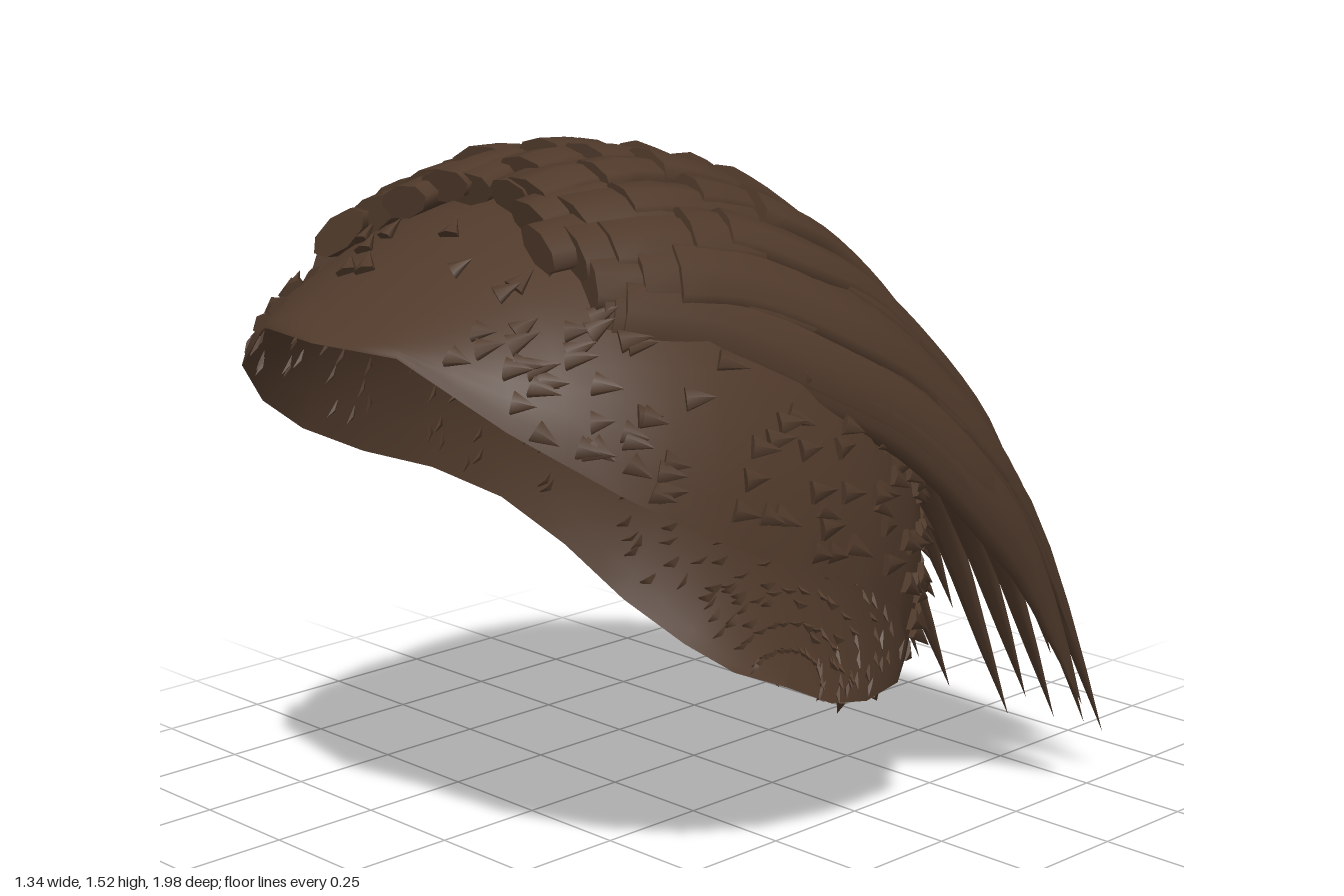
import * as THREE from 'three';
import { mergeGeometries } from 'three/addons/utils/BufferGeometryUtils.js';

const V = (x, y, z) => new THREE.Vector3(x, y, z);
let seed = 7;
const rand = () => (seed = (seed * 16807) % 2147483647) / 2147483647;
const jitter = (a) => (rand() * 2 - 1) * a;

// Smooth surface from a rule giving the point at row i, column j
function grid(rows, cols, point) {
  const pos = [], index = [];
  for (let i = 0; i <= rows; i++)
    for (let j = 0; j <= cols; j++) pos.push(...point(i, j).toArray());
  for (let i = 0; i < rows; i++)
    for (let j = 0; j < cols; j++) {
      const a = i * (cols + 1) + j, b = a + cols + 1;
      index.push(a, a + 1, b, b, a + 1, b + 1);
    }
  const g = new THREE.BufferGeometry();
  g.setAttribute('position', new THREE.Float32BufferAttribute(pos, 3));
  g.setIndex(index);
  g.computeVertexNormals();
  return g;
}

// Scalp sections, front to nape: rim x, y, z and crown y, z
const sections = [
  [0, 1.225, 1, 1.225, 1], [0.2, 1.22, 0.96, 1.26, 0.93], [0.4, 1.1, 0.87, 1.33, 0.8],
  [0.54, 0.98, 0.72, 1.42, 0.6], [0.62, 0.88, 0.56, 1.46, 0.38], [0.655, 0.79, 0.37, 1.44, 0.18],
  [0.65, 0.72, 0.18, 1.36, -0.02], [0.6, 0.63, 0.02, 1.21, -0.2], [0.52, 0.51, -0.1, 1.02, -0.33],
  [0.42, 0.38, -0.19, 0.78, -0.41], [0.28, 0.29, -0.25, 0.52, -0.4], [0.15, 0.245, -0.28, 0.35, -0.35],
  [0, 0.24, -0.3, 0.24, -0.3],
];
function scalpPoint(v, angle) {
  const i = Math.min(11, Math.floor(v)), f = v - i;
  const [x, y, z, ty, tz] = sections[i].map((n, k) => n + (sections[i + 1][k] - n) * f);
  const s = Math.sin(angle);
  return V(x * Math.cos(angle), y + (ty - y) * s, z + (tz - z) * s);
}

// Small scale-like tuft rooted in the scalp, its tip lifted outwards
function tuft(v, angle, radius, length, lift) {
  const p = scalpPoint(v, angle), e = 0.05;
  const dv = scalpPoint(v + e, angle).sub(scalpPoint(v - e, angle)).normalize();
  const da = scalpPoint(v, angle + e).sub(scalpPoint(v, angle - e)).normalize();
  const normal = dv.clone().cross(da).normalize();
  const dir = dv.addScaledVector(da, jitter(0.4)).addScaledVector(normal, lift).normalize();
  const side = dir.clone().cross(normal).normalize();
  const out = side.clone().cross(dir);
  p.addScaledVector(dir, length / 2).addScaledVector(normal, 0.004);
  const g = new THREE.ConeGeometry(radius, length, 6).scale(1, 1, 0.5);
  return g.applyMatrix4(new THREE.Matrix4().makeBasis(side, dir, out).setPosition(p));
}

// Sweep of the hair: a middle path and a side path, blended around the head
const middle = new THREE.CatmullRomCurve3([
  V(0, 1.43, 0.7), V(0, 1.48, 0.35), V(0, 1.37, 0), V(0, 1.12, -0.3), V(0, 0.72, -0.63), V(0, 0, -1)]);
const edge = new THREE.CatmullRomCurve3([
  V(0.36, 1.28, 0.68), V(0.47, 1.18, 0.42), V(0.56, 1.03, 0.15),
  V(0.585, 0.86, -0.08), V(0.575, 0.66, -0.3), V(0.56, 0.43, -0.5)]);
function sweep(s, t) {
  const phi = s * Math.PI / 2, a = edge.getPoint(t), b = middle.getPoint(t);
  const c = Math.max(0, Math.cos(phi));
  const ky = Math.pow(c, 1.05 - 0.65 * t * t), kz = Math.pow(c, 1.05 - 0.45 * t * t);
  return V(a.x * Math.sin(phi), a.y + (b.y - a.y) * ky, a.z + (b.z - a.z) * kz);
}

// Flattened lock with a blunt root and a pointed tip
function lock(s, t0, t1, width, thick, lift) {
  const rows = 18, sides = 8, phase = rand() * 6;
  const ring = (i, j, scale = 1) => {
    const u = i / rows, t = t0 + (t1 - t0) * u, e = 0.01;
    const sw = s + 0.012 * Math.sin(phase + u * 16) * (1 - u);
    const c = sweep(sw, t);
    const across = sweep(sw + e, t).sub(sweep(sw - e, t)).normalize();
    const along = sweep(sw, Math.min(1, t + e)).sub(sweep(sw, Math.max(0, t - e))).normalize();
    const normal = across.clone().cross(along).normalize();
    across.copy(along).cross(normal);
    const taper = scale * (u < 0.76 ? 1 : Math.pow((1 - u) / 0.24, 0.8));
    const q = -j / sides * Math.PI * 2 - Math.PI / 2;
    return c.addScaledVector(across, Math.cos(q) * width * taper)
      .addScaledVector(normal, Math.sin(q) * thick * taper + lift * (1 - 0.7 * u));
  };
  const body = grid(rows, sides, (i, j) => ring(i, j));
  const cap = grid(1, sides, (i, j) => ring(0, j, i));
  return mergeGeometries([body, cap]);
}

// Rows of locks, lowest first: count, spread, earliest root, latest tip
const lockRows = [
  [10, 0.98, 0, 1], [11, 1.03, 0.06, 0.99], [12, 0.95, 0.13, 0.94], [9, 0.8, 0.22, 0.89], [7, 0.65, 0.32, 0.86],
];

export function createModel() {
  seed = 7;
  const group = new THREE.Group();
  const brown = new THREE.MeshStandardMaterial({ color: 0x503a2b, side: THREE.DoubleSide });
  brown.name = 'dark brown';
  const add = (name, geometry) => {
    const mesh = new THREE.Mesh(geometry, brown);
    mesh.name = name;
    group.add(mesh);
  };

  // Open cap
  add('scalp', grid(24, 24, (i, j) => scalpPoint(i / 2, j / 24 * Math.PI)));

  // Short tufts all over the cap, closer together down the sides
  const tufts = [];
  for (let i = 0; i < 170; i++)
    tufts.push(tuft(1.5 + rand() * 9.5, 0.1 + rand() * 2.94, 0.025, 0.045 + rand() * 0.015, 0.25));
  for (let i = 0; i < 160; i++) {
    const a = 0.06 + rand() * 0.7;
    tufts.push(tuft(2 + rand() * 6, i % 2 ? a : Math.PI - a, 0.026, 0.05 + rand() * 0.015, 0.35));
  }
  add('tufts', mergeGeometries(tufts));

  // Denser, longer tufts at the nape
  const nape = [];
  for (let r = 0; r < 8; r++)
    for (let k = 0; k < 14; k++)
      nape.push(tuft(8.3 + r * 0.42, 0.15 + (k + (r % 2) / 2) / 14 * 2.8 + jitter(0.04), 0.026, 0.075, 0.6));
  add('napeTufts', mergeGeometries(nape));

  // Overlapping rows of locks: upper rows start further back and end sooner
  lockRows.forEach(([count, spread, root, tip], r) => {
    const locks = [];
    for (let k = 0; k < count; k++) {
      const s = ((k + 0.5) / count * 2 - 1) * spread + jitter(0.02);
      const inward = 1 - 0.6 * Math.abs(s);
      const t0 = (root + rand() * 0.1) * inward;
      const t1 = tip - rand() * (r ? 0.09 : 0.02);
      locks.push(lock(s, t0, t1, 0.06 + rand() * 0.015, 0.034, 0.004 + r * 0.013 * inward));
    }
    add('lockRow' + (r + 1), mergeGeometries(locks));
  });
  return group;
}
